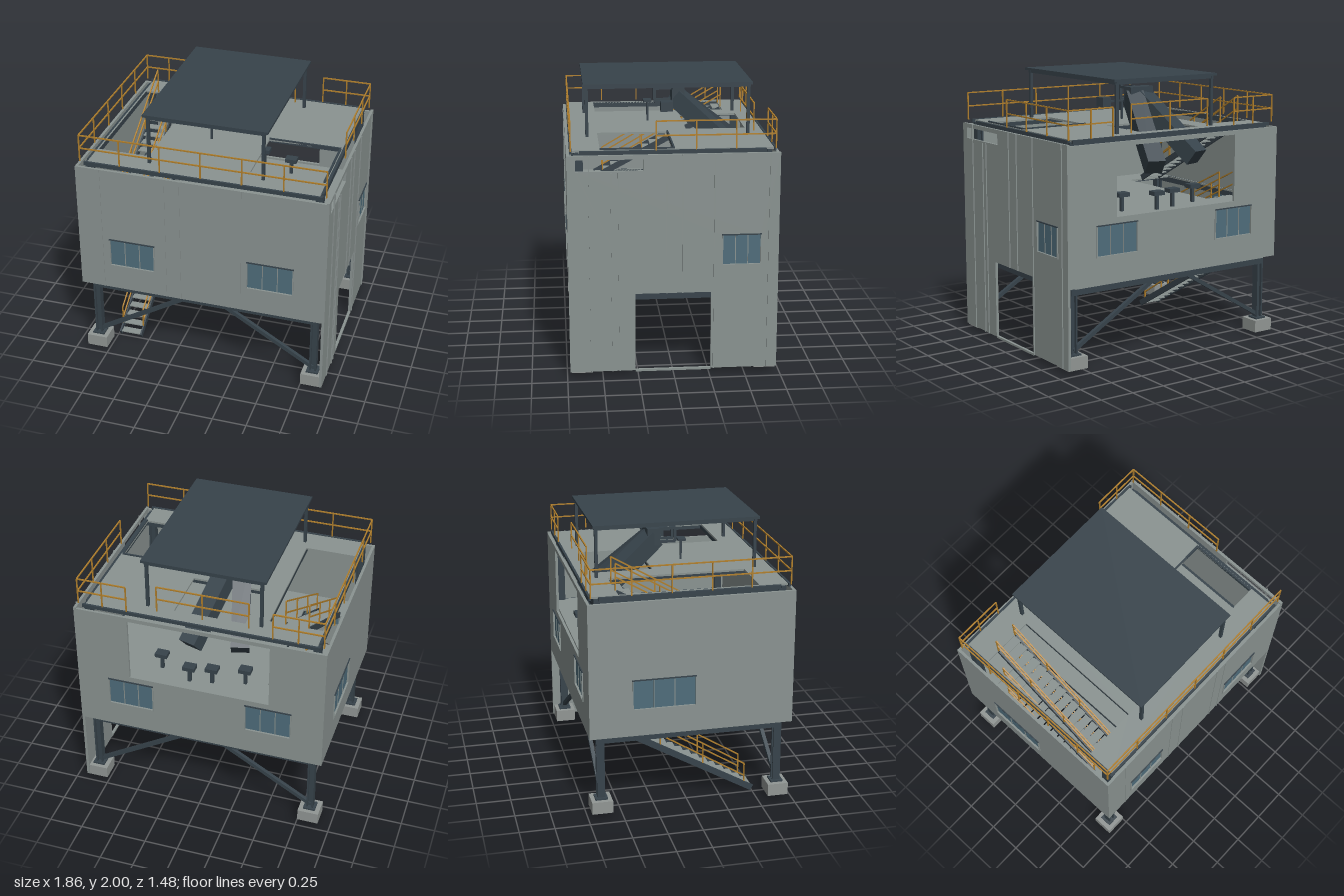
import * as THREE from 'three';

export function createModel() {
  const model = new THREE.Group();
  model.name = 'industrialPlatformBuilding';
  const mat = (name, color) => {
    const m = new THREE.MeshStandardMaterial({ color });
    m.name = name;
    return m;
  };
  const grey = mat('panel grey', 0x8a9391);
  const steel = mat('dark steel', 0x37434b);
  const brass = mat('rail yellow', 0xb07f2c);
  const glass = mat('window glass', 0x4f6d7b);
  const concrete = mat('concrete', 0x919694);

  const add = (name, geo, m, parent = model) => {
    const mesh = new THREE.Mesh(geo, m);
    mesh.name = name;
    parent.add(mesh);
    return mesh;
  };
  // box given by its min and max on each axis
  const box = (name, m, x0, x1, y0, y1, z0, z1, parent) => {
    const b = add(name, new THREE.BoxGeometry(x1 - x0, y1 - y0, z1 - z0), m, parent);
    b.position.set((x0 + x1) / 2, (y0 + y1) / 2, (z0 + z1) / 2);
    return b;
  };
  // square bar between two points
  const bar = (name, m, a, b, w, h = w, parent = model) => {
    const p = new THREE.Vector3(...a), q = new THREE.Vector3(...b);
    const mesh = add(name, new THREE.BoxGeometry(w, h, p.distanceTo(q)), m, parent);
    mesh.position.copy(p).add(q).multiplyScalar(0.5);
    mesh.lookAt(q);
    return mesh;
  };
  const group = name => {
    const g = new THREE.Group();
    g.name = name;
    model.add(g);
    return g;
  };

  // wall panel in local x/y, with rectangular holes, framed windows and raised seams
  const T = 0.02;
  function wall(name, outline, windows, holes, ribs, outer) {
    const g = group(name);
    const shape = new THREE.Shape(outline.map(p => new THREE.Vector2(...p)));
    for (const [x0, x1, y0, y1] of [...windows, ...holes]) {
      shape.holes.push(new THREE.Path([[x0, y0], [x0, y1], [x1, y1], [x1, y0]].map(p => new THREE.Vector2(...p))));
    }
    add(name + 'Panel', new THREE.ExtrudeGeometry(shape, { depth: T, bevelEnabled: false }), grey, g);
    const o0 = outer > 0 ? T : -0.008, o1 = outer > 0 ? T + 0.008 : 0;
    for (const [x0, x1, y0, y1] of windows) {
      box('windowGlass', glass, x0, x1, y0, y1, 0.006, 0.014, g);
      const f = 0.008;
      box('windowSill', grey, x0 - f, x1 + f, y0 - f, y0, o0, o1, g);
      box('windowHead', steel, x0 - f, x1 + f, y1, y1 + f, o0, o1, g);
      for (const x of [x0 - f, x1]) box('windowJamb', grey, x, x + f, y0, y1, o0, o1, g);
      for (const t of [1 / 3, 2 / 3]) {
        const x = x0 + (x1 - x0) * t;
        box('windowMullion', grey, x - 0.003, x + 0.003, y0, y1, 0.002, 0.018, g);
      }
    }
    for (const [x, y0, y1] of ribs) box('panelSeam', grey, x - 0.004, x + 0.004, y0, y1, o0, o1 - outer * 0.004, g);
    return g;
  }
  const rect = (x, y0, y1) => [[-x, y0], [x, y0], [x, y1], [-x, y1]];
  const pair = [[-0.68, -0.35, 0.81, 1.02], [0.35, 0.68, 0.81, 1.02]];
  const front = wall('frontWall', rect(0.9, 0.61, 1.59), pair, [],
    [-0.74, -0.26, -0.15, 0.21, 0.3].map(x => [x, 0.61, 1.59]), 1);
  front.position.z = 0.71;
  const back = wall('backWall', rect(0.9, 0.61, 1.59), pair, [[-0.52, 0.52, 1.07, 1.56]], [], -1);
  back.position.z = -0.73;
  const left = wall('stairSideWall', rect(0.73, 0.61, 1.59), [[-0.42, 0.02, 0.81, 1.02]], [], [], 1);
  left.rotation.y = -Math.PI / 2;
  left.position.x = -0.9;
  const right = wall('doorSideWall',
    [[-0.73, 0.04], [-0.26, 0.04], [-0.26, 0.61], [0.27, 0.61], [0.27, 0.04], [0.73, 0.04], [0.73, 1.6], [-0.73, 1.6]],
    [[-0.6, -0.34, 0.81, 1.02]], [[0.21, 0.67, 1.49, 1.57]],
    [[0.58, 0.04, 1.6], [0.43, 0.04, 1.48], [0.38, 0.04, 1.48], [0.05, 0.61, 1.6],
      [-0.06, 0.61, 1.6], [-0.28, 0.04, 1.6], [-0.66, 0.04, 1.6]], -1);
  right.rotation.y = -Math.PI / 2;
  right.position.x = 0.92;
  box('doorSill', grey, 0.9, 0.92, 0.03, 0.045, -0.26, 0.27);

  // footings, columns and diagonal braces
  for (const sx of [-1, 1]) for (const sz of [-1, 1]) {
    const x = sx * 0.835, z = sz * 0.645;
    box('footing', concrete, x - 0.078, x + 0.078, 0.03, 0.12, z - 0.075, z + 0.075);
    box('basePlate', steel, x - 0.045, x + 0.045, 0.12, 0.132, z - 0.045, z + 0.045);
    for (const d of [-1, 1]) box('columnFlange', steel, x + d * 0.02 - 0.006, x + d * 0.02 + 0.006, 0.13, 1.59, z - 0.028, z + 0.028);
    box('columnWeb', steel, x - 0.016, x + 0.016, 0.13, 1.59, z - 0.006, z + 0.006);
    bar('brace', steel, [sx * 0.83, 0.15, z], [sx * 0.08, 0.6, z], 0.028);
  }

  // three floors with beams; a stairwell runs through all, the top has two hatches
  const floor = (name, y, holes) => {
    const s = new THREE.Shape([[-0.84, -0.7], [0.84, -0.7], [0.84, 0.7], [-0.84, 0.7]].map(p => new THREE.Vector2(...p)));
    for (const [x0, x1, z0, z1] of holes)
      s.holes.push(new THREE.Path([[x0, -z0], [x0, -z1], [x1, -z1], [x1, -z0]].map(p => new THREE.Vector2(...p))));
    const geo = new THREE.ExtrudeGeometry(s, { depth: 0.014, bevelEnabled: false }).rotateX(-Math.PI / 2);
    add(name, geo, grey).position.y = y - 0.014;
  };
  const well = [-0.83, -0.45, -0.5, 0.49];
  floor('lowerFloor', 0.61, [well]);
  floor('middleFloor', 1.06, [well]);
  floor('roofDeck', 1.62, [well, [0.3, 0.82, 0, 0.5], [-0.3, 0.22, -0.58, -0.15]]);
  for (const [y, h] of [[0.596, 0.05], [1.046, 0.04], [1.606, 0.03]]) {
    for (const s of [-1, 1]) {
      box('sideBeam', steel, s * 0.845 - 0.015, s * 0.845 + 0.015, y - h, y + 0.01, -0.64, 0.64);
      box('endBeam', steel, -0.86, 0.86, y - h, y, s * 0.66 - 0.015, s * 0.66 + 0.015);
    }
    box('stairwellBeam', steel, -0.45, -0.42, y - h, y, -0.65, 0.65);
    for (const z of [-0.13, 0.51]) box('crossBeam', steel, -0.42, 0.84, y - h, y, z - 0.012, z + 0.012);
  }
  box('hatchTrim', steel, 0.3, 0.83, 1.6, 1.63, -0.012, 0);
  box('hatchTrim', steel, 0.82, 0.835, 1.6, 1.63, 0, 0.5);
  for (const s of [-1, 1]) {
    box('deckKerb', steel, -0.86, 0.86, 1.6, 1.625, s * 0.7 - 0.008, s * 0.7 + 0.008);
  }

  // handrail along a straight line: top and middle rails with posts
  const R = 0.009;
  function rail(a, b, n, parent, height = 0.2) {
    const at = (t, dy) => a.map((v, i) => v + (b[i] - v) * t + (i === 1 ? dy : 0));
    for (const k of [0.5, 1]) bar('handrail', brass, at(0, height * k), at(1, height * k), R, R, parent);
    for (let i = 0; i <= n; i++) bar('railPost', brass, at(i / n, 0), at(i / n, height), R, R, parent);
  }
  const rails = group('roofRailing');
  const D = 1.625;
  rail([-0.89, D, 0.7], [0.89, D, 0.7], 6, rails);
  rail([-0.89, D, -0.7], [-0.89, D, 0.7], 5, rails);
  rail([0.89, D, -0.7], [0.89, D, 0.12], 3, rails);
  for (const s of [-1, 1]) rail([s * 0.53, D, -0.7], [s * 0.89, D, -0.7], 2, rails);
  rail([-0.34, D, -0.63], [0.33, D, -0.63], 2, rails);

  // stair flights, stacked above each other
  function flight(y0, y1, z0, z1, n) {
    const g = group('stairFlight');
    for (const x of [-0.73, -0.565]) {
      bar('stringer', steel, [x, y0 + 0.01, z0], [x, y1 - 0.02, z1], 0.012, 0.045, g);
      rail([x, y0 + 0.02, z0 - 0.06], [x, y1, z1], 3, g, 0.19);
    }
    for (let i = 1; i <= n; i++) {
      const t = (i - 0.5) / n, y = y0 + (y1 - y0) * t, z = z0 + (z1 - z0) * t;
      box('tread', grey, -0.725, -0.57, y, y + 0.008, z - 0.03, z + 0.03, g);
    }
  }
  flight(0.01, 0.61, 0.5, -0.5, 16);
  flight(0.61, 1.06, 0.46, -0.5, 13);
  flight(1.06, 1.62, 0.49, -0.5, 16);

  // canopy over the roof deck
  box('canopyRoof', steel, -0.45, 0.45, 1.982, 2, -0.6, 0.6);
  for (const sx of [-1, 1]) {
    for (const sz of [-1, 1]) {
      box('canopyPost', steel, sx * 0.415 - 0.011, sx * 0.415 + 0.011, 1.62, 1.97, sz * 0.575 - 0.011, sz * 0.575 + 0.011);
    }
    box('canopyBeam', steel, sx * 0.415 - 0.01, sx * 0.415 + 0.01, 1.962, 1.984, -0.59, 0.59);
    box('canopyBeam', steel, -0.43, 0.43, 1.962, 1.984, sx * 0.575 - 0.01, sx * 0.575 + 0.01);
  }

  // twin discharge chutes sloping down to the rear opening
  bar('chute', steel, [-0.06, 1.81, -0.1], [0.1, 1.36, -0.6], 0.13, 0.13);
  bar('chute', steel, [-0.13, 1.81, -0.1], [-0.27, 1.4, -0.6], 0.13, 0.13);
  box('chuteHead', steel, -0.2, 0, 1.76, 1.885, -0.16, -0.07);
  for (const x of [-0.14, -0.05]) {
    bar('feedPipe', steel, [x, 1.87, -0.08], [x, 1.87, 0.06], 0.018);
    bar('feedPipe', steel, [x, 1.875, 0.055], [x, 1.77, 0.055], 0.018);
    bar('feedPipe', steel, [x, 1.77, 0.06], [x, 1.77, -0.08], 0.018);
  }
  box('driveBox', steel, 0.11, 0.18, 1.74, 1.81, -0.06, 0.03);
  box('driveArm', steel, -0.02, 0.11, 1.77, 1.785, -0.04, -0.02);
  box('controlPost', steel, -0.11, -0.095, 1.62, 1.78, 0.1, 0.115);
  box('controlHead', steel, -0.14, -0.06, 1.765, 1.78, 0.08, 0.14);

  // small pedestals on the middle floor
  for (const [x, z] of [[0.34, -0.53], [0.1, -0.62], [-0.06, -0.59], [-0.29, -0.53]]) {
    box('pedestalPost', steel, x - 0.012, x + 0.012, 1.06, 1.17, z - 0.012, z + 0.012);
    box('pedestalTop', steel, x - 0.045, x + 0.045, 1.165, 1.195, z - 0.035, z + 0.035);
  }
  return model;
}
